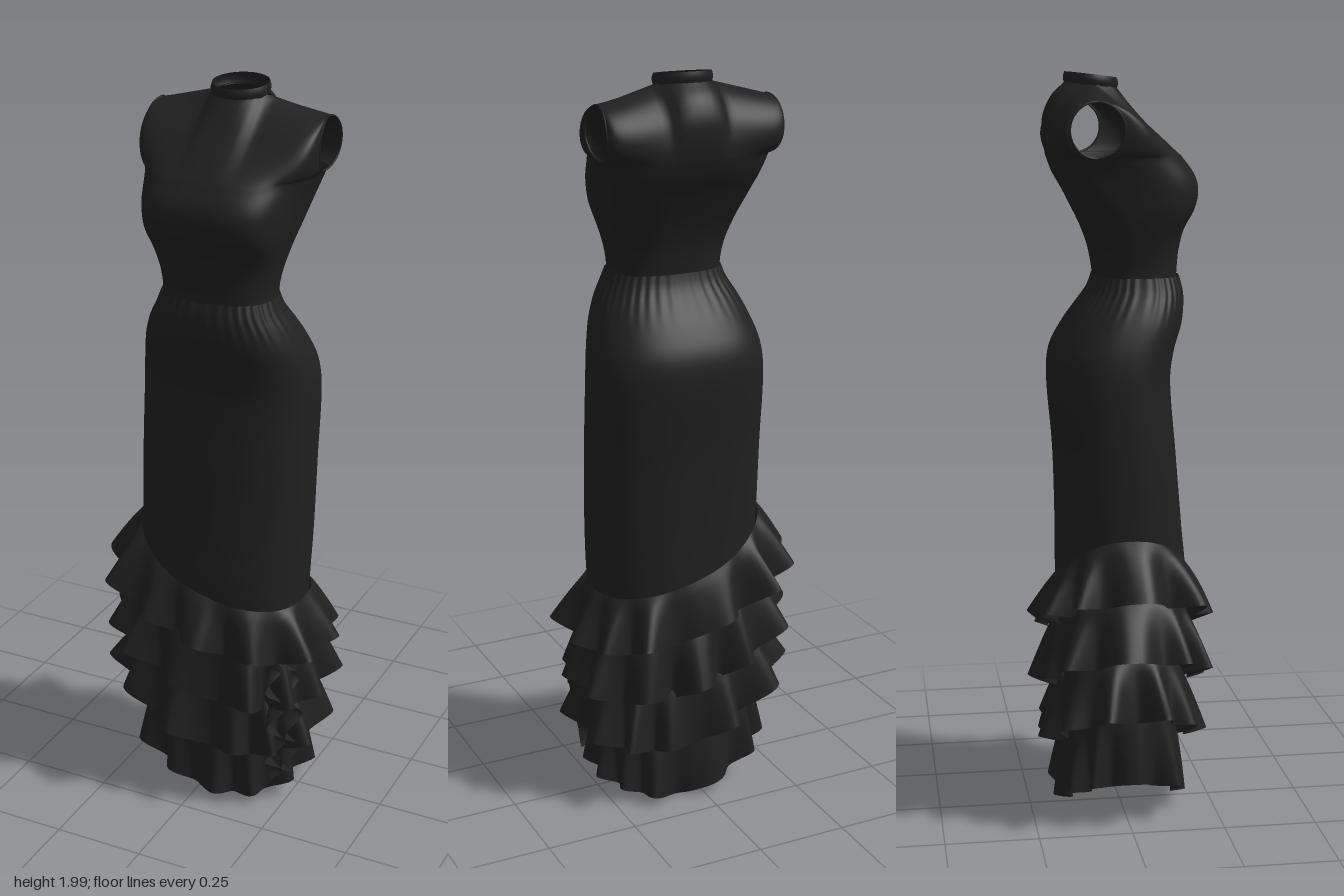
import * as THREE from 'three';
import { mergeGeometries, mergeVertices } from 'three/addons/utils/BufferGeometryUtils.js';

const CX = 0.023, PI = Math.PI;
const lerp = THREE.MathUtils.lerp, smooth = THREE.MathUtils.smoothstep;

// Cross-sections: height, half width, front z, back z
const SKIRT = [
  [0, 0.19, 0.125, -0.135], [0.2, 0.205, 0.145, -0.15], [0.45, 0.22, 0.165, -0.165], [0.65, 0.23, 0.178, -0.17],
  [0.8, 0.237, 0.165, -0.17], [1.0, 0.24, 0.148, -0.175], [1.2, 0.24, 0.132, -0.19], [1.28, 0.232, 0.142, -0.182],
  [1.35, 0.212, 0.163, -0.145], [1.4, 0.19, 0.168, -0.108], [1.44, 0.167, 0.166, -0.08], [1.475, 0.153, 0.156, -0.068],
];
const BODICE = [
  [1.46, 0.15, 0.15, -0.065], [1.5, 0.152, 0.152, -0.07], [1.55, 0.162, 0.157, -0.08], [1.6, 0.175, 0.168, -0.097],
  [1.65, 0.188, 0.193, -0.12], [1.7, 0.198, 0.202, -0.145], [1.74, 0.208, 0.192, -0.168], [1.785, 0.225, 0.16, -0.186],
];
// Centre lines of the chest and the upper back, from underarm to neck (y, z)
const FRONT_LINE = [[1.785, 0.16], [1.825, 0.118], [1.87, 0.07], [1.915, 0.03], [1.96, -0.004]];
const BACK_LINE = [[1.785, -0.186], [1.835, -0.198], [1.89, -0.197], [1.94, -0.175], [1.974, -0.14]];
const NECK = { x: 0.074, z: 0.068, centre: -0.072 };

// Smooth interpolation in a table whose first column is the key
function sample(rows, key) {
  const last = rows.length - 1;
  const k = THREE.MathUtils.clamp(key, rows[0][0], rows[last][0]);
  let i = 0;
  while (i < last - 1 && k > rows[i + 1][0]) i++;
  const a = rows[i], b = rows[i + 1], p = rows[Math.max(i - 1, 0)], q = rows[Math.min(i + 2, last)];
  const h = b[0] - a[0], t = (k - a[0]) / h, t2 = t * t, t3 = t2 * t;
  return a.map((v, c) => {
    const ma = (b[c] - p[c]) / (b[0] - p[0]) * h, mb = (q[c] - v) / (q[0] - a[0]) * h;
    return v * (2 * t3 - 3 * t2 + 1) + ma * (t3 - 2 * t2 + t) + b[c] * (3 * t2 - 2 * t3) + mb * (t3 - t2);
  });
}

// Surface from a function of (u, v), both 0..1
function grid(fn, nu, nv) {
  const pos = [], idx = [];
  for (let j = 0; j <= nv; j++) for (let i = 0; i <= nu; i++) pos.push(...fn(i / nu, j / nv));
  for (let j = 0; j < nv; j++) for (let i = 0; i < nu; i++) {
    const a = j * (nu + 1) + i, b = a + 1, c = a + nu + 1, d = c + 1;
    idx.push(a, b, d, a, d, c);
  }
  const g = new THREE.BufferGeometry();
  g.setAttribute('position', new THREE.Float32BufferAttribute(pos, 3));
  g.setIndex(idx);
  return g;
}

// Weld the seams so that normals run smoothly across them
function weld(...parts) {
  const g = mergeVertices(mergeGeometries(parts), 1e-5);
  g.computeVertexNormals();
  return g;
}

// Rounded-rectangle curve, squarest across the bust
function curve(v, y) {
  const power = 2.5 + 1.0 * smooth(y, 1.52, 1.68) * (1 - 0.75 * smooth(y, 1.7, 1.8));
  return Math.sign(v) * Math.abs(v) ** (2 / power);
}

// Point on a rounded body section; angle 0 faces the front, offset pushes outward
function section(rows, y, angle, offset = 0) {
  const [, w, zf, zb] = sample(rows, y);
  const zm = lerp((zf + zb) / 2, -0.085, smooth(y, 1.6, 1.785));
  const s = curve(Math.sin(angle), y), c = curve(Math.cos(angle), y);
  return [CX + s * (w + offset), y, zm + c * (c > 0 ? zf - zm + offset : zm - zb + offset)];
}

// Armhole edge: half circle from underarm to shoulder, as (y, z)
const armEdge = (t, dir) => [1.855 - 0.07 * Math.cos(PI * t), -0.085 + dir * 0.07 * Math.sin(PI * t)];
const armWidth = (t) => 0.225 + 0.01 * t + 0.012 * Math.sin(PI * t);

// Shoulder and neck edge, as (y, z)
function topEdge(s, dir) {
  const x = Math.abs(s) * armWidth(1);
  if (x < NECK.x) {
    const z = NECK.centre + dir * NECK.z * Math.sqrt(1 - (x / NECK.x) ** 2);
    return [1.967 - 0.1 * (z - NECK.centre), z];
  }
  const k = (x - NECK.x) / (armWidth(1) - NECK.x);
  return [lerp(1.967, 1.925, k), lerp(NECK.centre, -0.085, k)];
}

// Upper panel spanned between underarm section, armholes, centre line and shoulder
function panel(dir) {
  const line = dir > 0 ? FRONT_LINE : BACK_LINE;
  const table = line.map((p, i) => [i / (line.length - 1), ...p]);
  return grid((u, t) => {
    const angle = (dir > 0 ? -PI / 2 : PI / 2) + u * PI;
    const s = curve(Math.sin(angle), 1.785), k = s * s;
    const blend = (q) => {
      const e = armEdge(q, dir), c = sample(table, q);
      return [lerp(c[1], e[0], k), lerp(c[2], e[1], k)];
    };
    const low = section(BODICE, 1.785, angle), b0 = blend(0), b1 = blend(1), b = blend(t), top = topEdge(s, dir);
    const fix = (i) => b[i] + (1 - t) * (low[i + 1] - b0[i]) + t * (top[i] - b1[i]);
    return [CX + s * armWidth(t), fix(0), fix(1)];
  }, 64, 20);
}

// Hem height of each ruffle tier: slanted at the top, rounded at the bottom
function hem(k, x) {
  const first = 0.525 - 0.33 * x + 0.5 * x * x;
  const last = 0.018 + 1.4 * (x - 0.08) ** 2;
  return lerp(first, last, k / 3);
}

// Gathered tier: uneven folds that swing out and up, widest at the sides
function ruffle(k) {
  const phase = k * 1.9 + 0.6, bottom = k === 3;
  return weld(grid((u, v) => {
    const a = u * 2 * PI, f = 1 - v;
    const x = section(SKIRT, 0.5, a)[0];
    const fold = Math.sin(12 * a + phase + 0.9 * Math.sin(3 * a + phase));
    const size = 0.75 + 0.25 * Math.sin(5 * a + phase * 2);
    const side = Math.sin(a) ** 2, left = side * (a > PI ? 1 : 0);
    const low = hem(k, x) + (bottom ? 0.012 : 0.018) * fold * size + (bottom ? 0 : 0.04) * left;
    const high = hem(k, x) + (k ? 0.19 : 0.14 + 0.05 * left);
    const y = lerp(low, high, v);
    const mean = bottom ? 0.03 : 0.045 + 0.022 * side + 0.02 * left;
    const flare = mean * f ** 0.8 + (bottom ? 0.03 : 0.04) * fold * size * f;
    return section(SKIRT, y, a, 0.005 + flare);
  }, 240, 10));
}

// Gathered strip falling down the side opening
function cascade(angle, phase) {
  return weld(grid((u, v) => {
    const y = lerp(0.12, 0.58, v);
    const p = section(SKIRT, y, angle, 0.01 + 0.065 * u * Math.sin(PI * Math.min(1, 0.15 + v)) ** 0.5);
    const sway = 0.03 * u * Math.sin(v * 26 + phase);
    return [p[0] + sway * Math.cos(angle), y - 0.03 * u, p[2] - sway * Math.sin(angle)];
  }, 8, 60));
}

export function createModel() {
  const group = new THREE.Group();
  const black = new THREE.MeshStandardMaterial({ color: 0x202020, side: THREE.DoubleSide });
  black.name = 'black fabric';
  const add = (name, geometry) => {
    const mesh = new THREE.Mesh(geometry, black);
    mesh.name = name;
    group.add(mesh);
  };

  // Bodice with open armholes
  const torso = grid((u, v) => section(BODICE, lerp(1.46, 1.785, v), u * 2 * PI), 128, 32);
  add('bodice', weld(torso, panel(1), panel(-1)));

  // Armhole bindings
  for (const side of [-1, 1]) {
    const points = [];
    for (let i = 0; i < 32; i++) {
      const q = i / 16, t = q <= 1 ? q : 2 - q;
      const [y, z] = armEdge(t, q <= 1 ? 1 : -1);
      points.push(new THREE.Vector3(CX + side * armWidth(t), y, z));
    }
    add(side > 0 ? 'leftArmholeBinding' : 'rightArmholeBinding',
      new THREE.TubeGeometry(new THREE.CatmullRomCurve3(points, true), 64, 0.003, 6, true));
  }

  // Stand collar, higher at the back
  add('collar', weld(grid((u, v) => {
    const a = u * 2 * PI, c = Math.cos(a), r = 1 + 0.05 * Math.sin(PI * v);
    return [CX + NECK.x * r * Math.sin(a), lerp(1.963 - 0.007 * c, 1.992 - 0.008 * c, v), NECK.centre + NECK.z * r * c];
  }, 48, 6)));

  // Long skirt with faint gathers under the waist
  add('skirt', weld(grid((u, v) => {
    const y = lerp(0.2, 1.475, v), a = u * 2 * PI;
    const gather = 0.0012 * Math.sin(36 * a) * smooth(y, 1.34, 1.43);
    return section(SKIRT, y, a, gather);
  }, 264, 70)));

  // Four ruffle tiers and the side cascade
  for (let k = 0; k < 4; k++) add('ruffleTier' + (k + 1), ruffle(k));
  add('cascadeFront', cascade(0.85, 0));
  add('cascadeBack', cascade(1.1, 2));
  return group;
}
